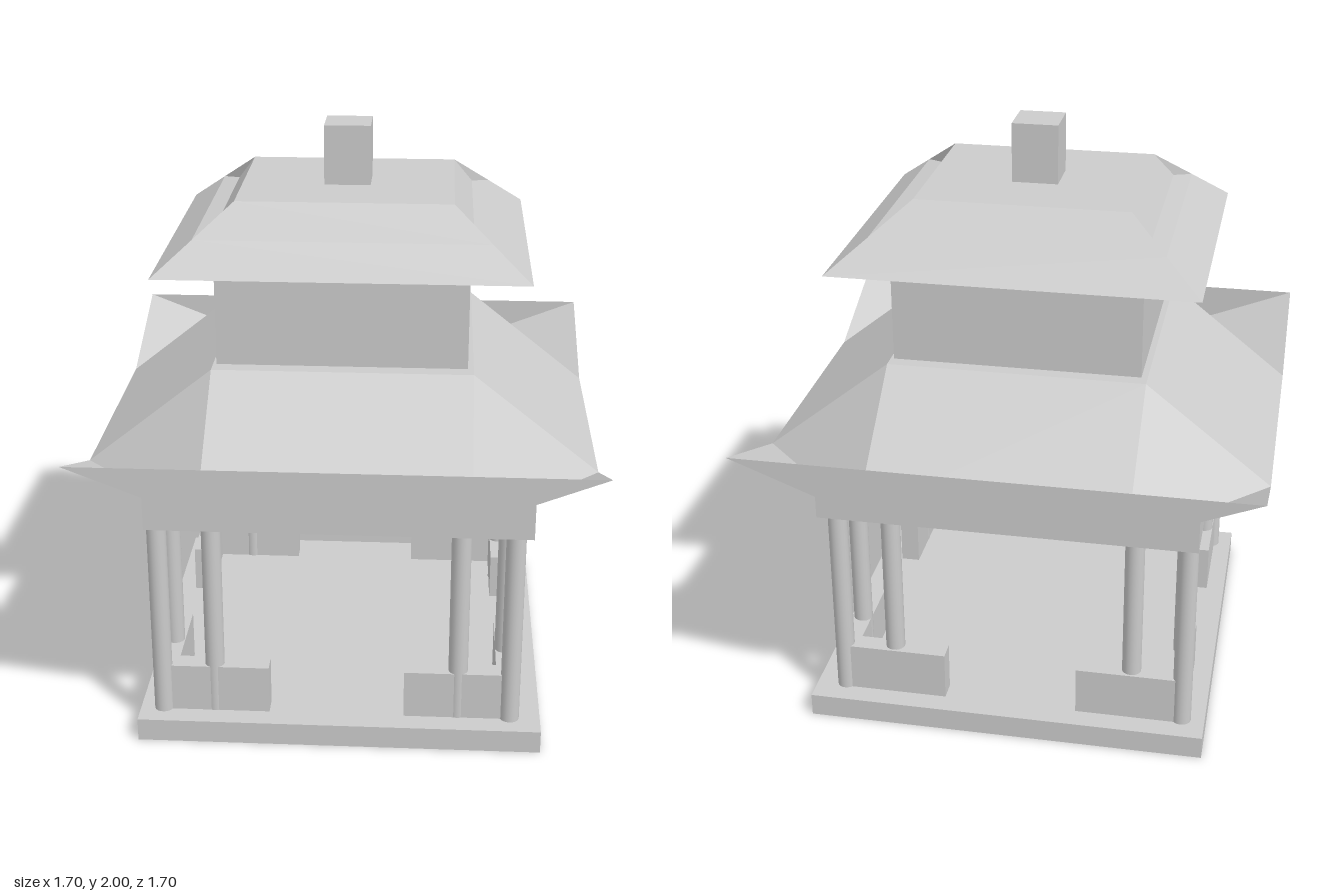
import * as THREE from 'three';

const material = new THREE.MeshStandardMaterial({ color: 0xcccccc, flatShading: true });
const thin = new THREE.MeshStandardMaterial({ color: 0xcccccc, flatShading: true, side: THREE.DoubleSide });
const smooth = new THREE.MeshStandardMaterial({ color: 0xcccccc });

// Box given by its lower and upper corners
function box(name, [x0, y0, z0], [x1, y1, z1]) {
  const mesh = new THREE.Mesh(new THREE.BoxGeometry(x1 - x0, y1 - y0, z1 - z0), material);
  mesh.position.set((x0 + x1) / 2, (y0 + y1) / 2, (z0 + z1) / 2);
  mesh.name = name;
  return mesh;
}

// Flat panels, each a convex polygon turned to face away from an inner point
function panels(name, polygons, inside) {
  const centre = new THREE.Vector3(...inside);
  const positions = [];
  for (const polygon of polygons) {
    const p = polygon.map((c) => new THREE.Vector3(...c));
    for (let i = 1; i < p.length - 1; i++) {
      const t = new THREE.Triangle(p[0], p[i], p[i + 1]);
      const out = t.getMidpoint(new THREE.Vector3()).sub(centre);
      const flip = t.getNormal(new THREE.Vector3()).dot(out) < 0;
      for (const v of flip ? [t.a, t.c, t.b] : [t.a, t.b, t.c]) positions.push(v.x, v.y, v.z);
    }
  }
  const geometry = new THREE.BufferGeometry();
  geometry.setAttribute('position', new THREE.Float32BufferAttribute(positions, 3));
  geometry.computeVertexNormals();
  const mesh = new THREE.Mesh(geometry, thin);
  mesh.name = name;
  return mesh;
}

// Three pillars and an L-shaped low wall at one corner
function cornerPost(sx, sz) {
  const group = new THREE.Group();
  group.name = 'cornerPillars';
  const pillar = new THREE.CylinderGeometry(0.033, 0.033, 0.71, 20);
  for (const [x, z] of [[0.593, 0.593], [0.415, 0.575], [0.575, 0.422]]) {
    const mesh = new THREE.Mesh(pillar, smooth);
    mesh.name = 'pillar';
    mesh.position.set(sx * x - 0.012, 0.435, sz * z + 0.005);
    group.add(mesh);
  }
  const wall = (x0, x1, z0, z1) => {
    const mesh = box('lowWall', [x0, 0.07, z0], [x1, 0.25, z1]);
    mesh.position.x = sx * mesh.position.x - 0.01;
    mesh.position.z *= sz;
    group.add(mesh);
  };
  wall(0.23, 0.61, 0.542, 0.61);
  wall(0.542, 0.61, 0.25, 0.542);
  return group;
}

// Lower roof: sloped sides, upturned corners, upright eave boards front and back
function lowerRoof() {
  const a = 0.43, e = 0.85, low = 0.93, tip = 1.095, top = 1.265;
  const faces = [
    [[-a, top, -a], [a, top, -a], [a, top, a], [-a, top, a]],
    [[a, low, e], [e, low, a], [e, low, -a], [a, low, -e],
      [-a, low, -e], [-e, low, -a], [-e, low, a], [-a, low, e]],
  ];
  for (const s of [1, -1]) {
    faces.push([[-a, top, s * a], [a, top, s * a], [a, low, s * e], [-a, low, s * e]]);
    faces.push([[s * a, top, -a], [s * a, top, a], [s * e, low, a], [s * e, low, -a]]);
    faces.push([[-e, tip, s * e], [e, tip, s * e], [a, low, s * e], [-a, low, s * e]]);
    for (const t of [1, -1]) {
      faces.push([[s * a, top, t * a], [s * a, low, t * e], [s * e, low, t * a]]);
      faces.push([[s * e, tip, t * e], [s * a, low, t * e], [s * e, low, t * a]]);
    }
  }
  return panels('lowerRoof', faces, [0, 1.05, 0]);
}

// Upper roof: stepped side slopes, flat front and back slopes, notched hips
function upperRoof() {
  const hip = [[0.355, 1.8, 0.305], [0.42, 1.71, 0.362], [0.48, 1.7, 0.415], [0.605, 1.6, 0.523]];
  const at = (i, sx, sz) => [sx * hip[i][0], hip[i][1], sz * hip[i][2]];
  const sag = [0.605, 1.557, 0];
  const faces = [
    [at(0, -1, -1), at(0, 1, -1), at(0, 1, 1), at(0, -1, 1)],
    [sag, at(3, 1, 1), at(3, -1, 1), at(3, -1, -1), at(3, 1, -1)],
    [sag, at(3, 1, 1), at(3, 1, -1)],
  ];
  for (const s of [1, -1]) {
    faces.push([at(0, -1, s), at(0, 1, s), at(2, 1, s), at(2, -1, s)]);
    faces.push([at(2, -1, s), at(2, 1, s), at(3, 1, s), at(3, -1, s)]);
    for (const t of [1, -1]) faces.push([at(0, s, t), at(1, s, t), at(2, s, t)]);
    for (let i = 0; i < 3; i++) faces.push([at(i, s, 1), at(i, s, -1), at(i + 1, s, -1), at(i + 1, s, 1)]);
  }
  return panels('upperRoof', faces, [0, 1.65, 0]);
}

export function createModel() {
  const model = new THREE.Group();
  model.name = 'pavilion';
  model.add(
    box('base', [-0.685, 0, -0.685], [0.685, 0.08, 0.685]),
    box('beam', [-0.64, 0.78, -0.642], [0.637, 0.928, 0.642]),
    lowerRoof(),
    box('upperRoom', [-0.413, 1.28, -0.415], [0.41, 1.6, 0.415]),
    upperRoof(),
    box('finial', [-0.08, 1.79, -0.078], [0.075, 2, 0.076]),
  );
  for (const sx of [1, -1]) for (const sz of [1, -1]) model.add(cornerPost(sx, sz));
  return model;
}
